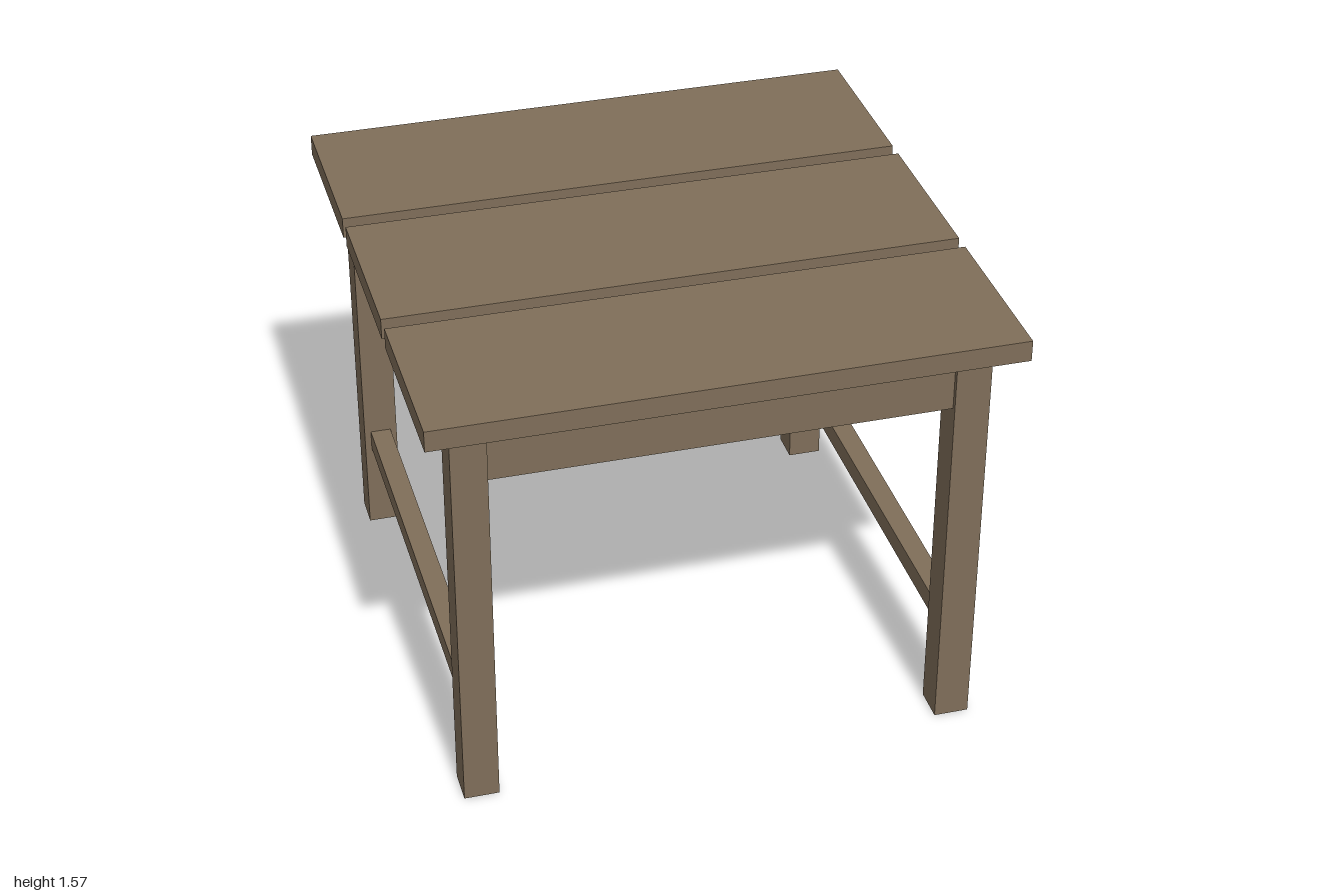
import * as THREE from 'three';

export function createModel() {
  const table = new THREE.Group();
  table.name = 'table';
  const wood = new THREE.MeshStandardMaterial({ color: 0x7f6e59 });
  wood.name = 'brown wood';

  const LEG = 0.845;      // leg centre offset in x and z
  const LEG_W = 0.122;
  const LEG_H = 1.495;    // underside of the top
  const SPAN = 2 * LEG - LEG_W; // clear distance between legs

  // Box standing with its base at y
  function board(name, w, h, d, x, y, z) {
    const mesh = new THREE.Mesh(new THREE.BoxGeometry(w, h, d), wood);
    mesh.name = name;
    mesh.position.set(x, y + h / 2, z);
    table.add(mesh);
  }

  // Three top planks with gaps between them
  for (const i of [-1, 0, 1]) board('topPlank', 2, 0.075, 0.627, 0, LEG_H, i * 0.6865);

  for (const s of [-1, 1]) {
    // Legs
    for (const t of [-1, 1]) board('leg', LEG_W, LEG_H, LEG_W, s * LEG, 0, t * LEG);
    // Aprons under the top, slightly inset from the leg faces
    board('endApron', SPAN, 0.217, 0.087, 0, 1.278, s * LEG);
    board('sideApron', 0.087, 0.217, SPAN, s * LEG, 1.278, 0);
    // Low stretchers on the left and right sides
    board('sideStretcher', 0.075, 0.075, SPAN, s * LEG, 0.33, 0);
  }

  return table;
}
